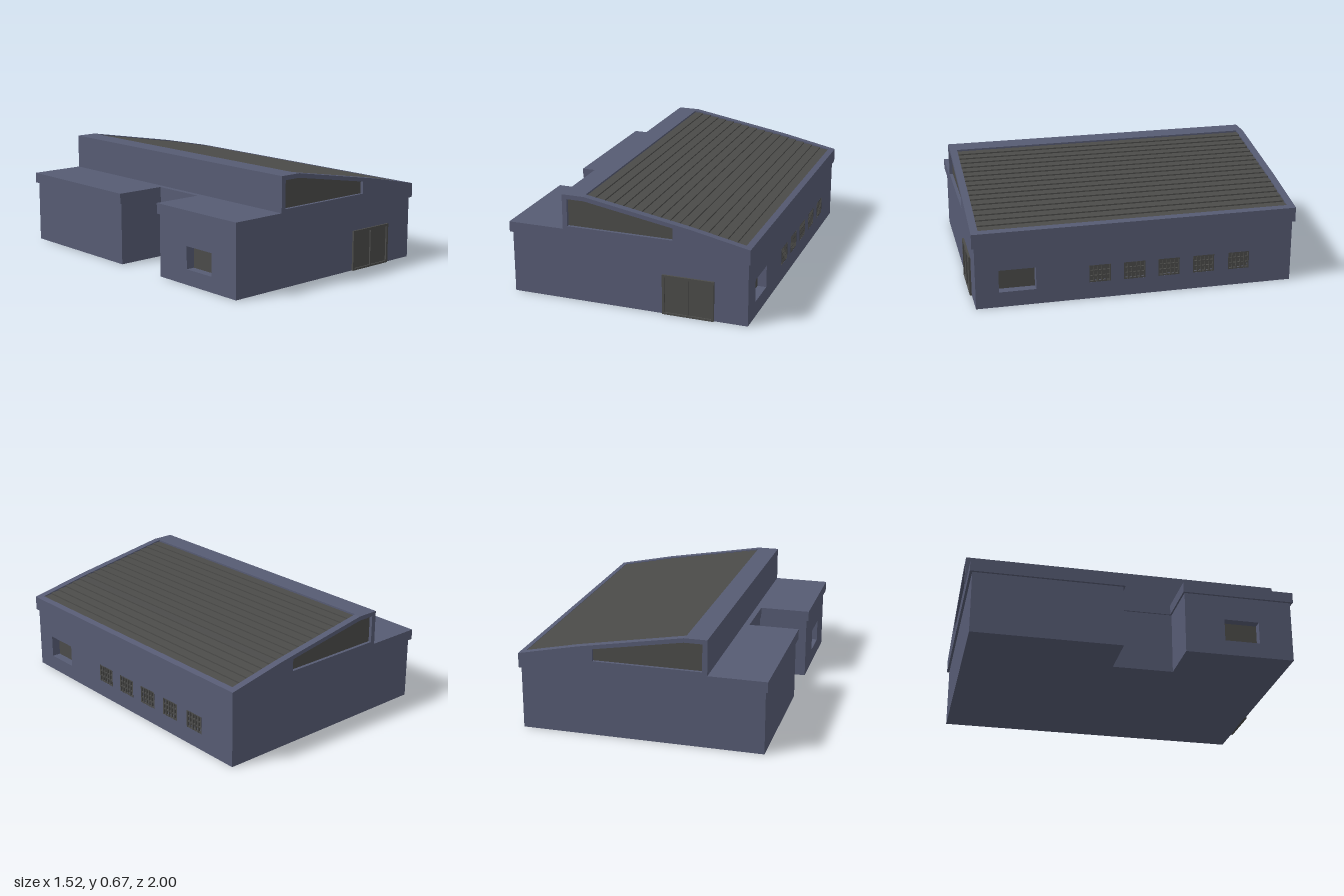
import * as THREE from 'three';

const wallBlue = new THREE.MeshStandardMaterial({ color: 0x565b73 });
wallBlue.name = 'slate blue';
const panelGrey = new THREE.MeshStandardMaterial({ color: 0x4b4b49 });
panelGrey.name = 'charcoal grey';

const WALL_TOP = 0.39;
const REVEAL = 0.06;

// Height of the sloping roof line at x
function roofY(x) {
  if (x < -0.265) return 0.672;
  return x < 0.39 ? 0.672 - (x + 0.265) * 0.1756 : 0.557 - (x - 0.39) * 0.2098;
}

function shapeOf(points) {
  return new THREE.Shape(points.map(([x, y]) => new THREE.Vector2(x, y)));
}

function extrude(shape, depth) {
  return new THREE.ExtrudeGeometry(shape, { depth, bevelEnabled: false });
}

function rectangle(x0, y0, x1, y1) {
  return [[x0, y0], [x1, y0], [x1, y1], [x0, y1]];
}

export function createModel() {
  const model = new THREE.Group();
  model.name = 'building';

  function add(name, geometry, material, x = 0, y = 0, z = 0) {
    const mesh = new THREE.Mesh(geometry, material);
    mesh.name = name;
    mesh.position.set(x, y, z);
    model.add(mesh);
    return mesh;
  }
  function box(name, material, x0, x1, y0, y1, z0, z1) {
    return add(name, new THREE.BoxGeometry(x1 - x0, y1 - y0, z1 - z0), material,
      (x0 + x1) / 2, (y0 + y1) / 2, (z0 + z1) / 2);
  }
  // Floor plan given as [x, z], raised from y0 to y1
  function plan(name, points, y0, y1) {
    const geometry = extrude(shapeOf(points.map(([x, z]) => [x, -z])), y1 - y0);
    geometry.rotateX(-Math.PI / 2);
    return add(name, geometry, wallBlue, 0, y0, 0);
  }
  // Side wall slab with window openings [z0, z1, y0, y1]
  function sideWall(name, x, z0, z1, openings) {
    const shape = shapeOf(rectangle(-z1, 0, -z0, WALL_TOP));
    for (const [a, b, y0, y1] of openings) shape.holes.push(shapeOf(rectangle(-b, y0, -a, y1)));
    const geometry = extrude(shape, REVEAL);
    geometry.rotateY(Math.PI / 2);
    return add(name, geometry, wallBlue, x, 0, 0);
  }

  // Main walls, with the entrance court cut into the left side of the plan
  const inner = -0.745 + REVEAL;
  plan('walls', [
    [-0.745, -0.985], [0.685, -0.985], [0.685, 0.985], [inner, 0.985],
    [inner, 0.31], [-0.43, 0.31], [-0.43, -0.07], [-0.745, -0.07],
  ], 0, WALL_TOP);

  // Side walls with openings
  const largeRight = [0.62, 0.845, 0.095, 0.235];
  const largeLeft = [0.557, 0.775, 0.095, 0.235];
  const small = [0.23, 0.015, -0.2, -0.42, -0.645].map(z => [z - 0.067, z + 0.067, 0.105, 0.215]);
  sideWall('rightWall', 0.685, -0.985, 0.985, [largeRight, ...small]);
  sideWall('leftWall', -0.745, 0.31, 0.985, [largeLeft]);

  // Glass at the back of the large openings
  box('largeWindowRight', panelGrey, 0.683, 0.69, 0.095, 0.235, 0.62, 0.845);
  box('largeWindowLeft', panelGrey, inner - 0.005, inner + 0.002, 0.095, 0.235, 0.557, 0.775);

  // Small barred windows
  for (const [z0, z1, y0, y1] of small) {
    box('smallWindow', panelGrey, 0.705, 0.712, y0, y1, z0, z1);
    for (let i = 0; i < 6; i++) {
      const z = z0 + 0.004 + (i * (z1 - z0 - 0.008)) / 5;
      box('windowBar', panelGrey, 0.735, 0.746, y0, y1, z - 0.004, z + 0.004);
    }
    for (let i = 0; i < 4; i++) {
      const y = y0 + 0.004 + (i * (y1 - y0 - 0.008)) / 3;
      box('windowCrossBar', panelGrey, 0.733, 0.744, y - 0.004, y + 0.004, z0, z1);
    }
  }

  // Low flat roof in two wings
  plan('lowRoof', [
    [-0.76, -1], [-0.405, -1], [-0.405, 1], [-0.76, 1],
    [-0.76, 0.3], [-0.44, 0.3], [-0.44, -0.06], [-0.76, -0.06],
  ], WALL_TOP, 0.455);

  // Sloping roof body, sunk between its edges to take the panels
  const x0 = -0.27, x1 = 0.72, sunk = 0.03;
  const core = shapeOf([
    [-0.405, WALL_TOP], [0.757, WALL_TOP], [0.757, roofY(0.757)], [x1, roofY(x1)],
    [x1, roofY(x1) - sunk], [0.39, roofY(0.39) - sunk], [x0, roofY(x0) - sunk],
    [x0, roofY(x0)], [-0.405, 0.672],
  ]);
  add('roofBody', extrude(core, 1.91), wallBlue, 0, 0, -0.955);

  // Stepped roof panels, each dropping to the next
  const steps = 17;
  const profile = [[x0, roofY(x0) - sunk], [x1, roofY(x1) - sunk]];
  for (let i = steps - 1; i >= 0; i--) {
    const a = x0 + ((x1 - x0) * i) / steps;
    const b = x0 + ((x1 - x0) * (i + 1)) / steps;
    profile.push([b, roofY(b) - 0.003], [a, roofY(a) - 0.011]);
  }
  add('roofPanels', extrude(shapeOf(profile), 1.91), panelGrey, 0, 0, -0.955);

  // Gables front and back, each with a recessed sloping window
  const windowPoints = [[-0.375, 0.475], [0.29, 0.475], [0.29, 0.55], [-0.265, 0.645], [-0.375, 0.645]];
  for (const side of [1, -1]) {
    const gable = shapeOf([
      [-0.405, WALL_TOP], [0.757, WALL_TOP], [0.757, roofY(0.757)],
      [0.39, roofY(0.39)], [-0.265, 0.672], [-0.405, 0.672],
    ]);
    gable.holes.push(shapeOf(windowPoints));
    add('gable', extrude(gable, 0.045), wallBlue, 0, 0, side > 0 ? 0.955 : -1);
    add('gableWindow', extrude(shapeOf(windowPoints), 0.025), panelGrey, 0, 0, side > 0 ? 0.955 : -0.98);
  }

  // Double door with a raised frame
  const frame = shapeOf(rectangle(0.22, 0, 0.54, 0.25));
  for (const x of [0.235, 0.385]) {
    frame.holes.push(shapeOf(rectangle(x, 0.012, x + 0.14, 0.235)));
    box('doorLeaf', panelGrey, x, x + 0.14, 0.012, 0.235, 0.98, 0.988);
  }
  add('doorFrame', extrude(frame, 0.017), panelGrey, 0, 0, 0.98);

  return model;
}
